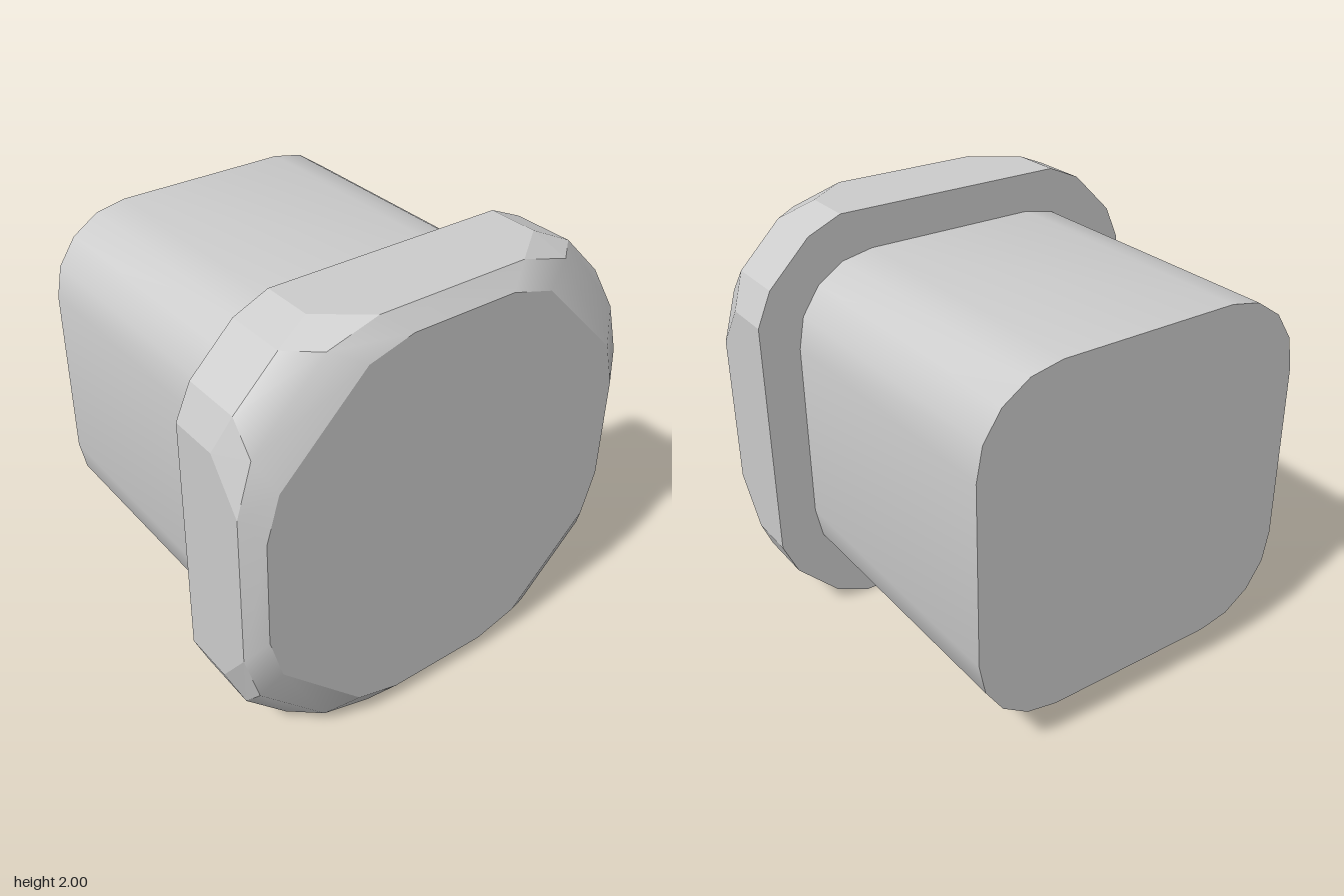
import * as THREE from 'three';
import { mergeVertices, toCreasedNormals } from 'three/addons/utils/BufferGeometryUtils.js';

// Fan-triangulate convex faces given as loops of [x, y, z]
function fromFaces(faces) {
  const pos = [];
  for (const f of faces)
    for (let i = 1; i < f.length - 1; i++) pos.push(...f[0], ...f[i], ...f[i + 1]);
  const g = new THREE.BufferGeometry();
  g.setAttribute('position', new THREE.Float32BufferAttribute(pos, 3));
  return g;
}

const mirrorX = ([x, y, z]) => [-x, y, z];
const swapXY = ([x, y, z]) => [y, x, z];
const turn = (q) => ([x, y, z]) => {
  for (let i = 0; i < q; i++) [x, y] = [-y, x];
  return [x, y, z];
};

export function createModel() {
  const group = new THREE.Group();
  const grey = new THREE.MeshStandardMaterial({ color: 0xcccccc });
  grey.name = 'grey';
  const add = (name, geometry) => {
    const mesh = new THREE.Mesh(geometry, grey);
    mesh.name = name;
    mesh.position.y = 1;
    group.add(mesh);
  };

  // Key points of one eighth of the head
  const a = [0.36, 1, 0.86], b = [0.57, 1, 0.70], c = [0.57, 1, 0.46];
  const d = [0.60, 0.93, 0.86], e = [0.73, 0.93, 0.75], f = [0.73, 0.93, 0.46];
  const g = [0.25, 0.92, 0.93], h = [0.46, 0.86, 0.93];
  const [a2, b2, c2, d2, e2, f2, g2, h2] = [a, b, c, d, e, f, g, h].map(swapXY);

  // One quarter of the head: side facets, bevel, front and back
  const sides = [
    [c, mirrorX(c), mirrorX(b), mirrorX(a), a, b],
    [c, b, e, f], [f2, e2, b2, c2],
    [b, a, d, e], [e2, d2, a2, b2],
    [f, e, e2, f2],
  ];
  const bevel = [
    [g, a, mirrorX(a), mirrorX(g)],
    [a, g, h, d], [d2, h2, g2, a2],
    [d, h, h2, d2], [e, d, d2, e2],
  ];
  const front = [[[0, 0, 0.93], g2, h2, h, g, mirrorX(g)]];
  const back = [[[0, 0, 0.46], mirrorX(c), c, f, f2, c2]];
  const allQuarters = (faces) =>
    fromFaces([0, 1, 2, 3].flatMap((q) => faces.map((face) => face.map(turn(q)))));

  // Faceted parts keep one normal per triangle, the bevel is smooth
  for (const [name, faces] of [['headSides', sides], ['headFront', front], ['headBack', back]]) {
    const geo = allQuarters(faces);
    geo.computeVertexNormals();
    add(name, geo);
  }
  const bevelGeo = mergeVertices(allQuarters(bevel));
  bevelGeo.computeVertexNormals();
  add('headBevel', bevelGeo);

  // Shaft: rounded square with four segments per corner
  const half = 0.815, r = 0.39, outline = [];
  for (let q = 0; q < 4; q++) {
    const mid = Math.PI / 4 + q * Math.PI / 2;
    const cx = Math.sign(Math.cos(mid)) * (half - r), cy = Math.sign(Math.sin(mid)) * (half - r);
    for (let i = 0; i <= 4; i++) {
      const t = q * Math.PI / 2 + i * Math.PI / 8;
      outline.push(new THREE.Vector2(cx + r * Math.cos(t), cy + r * Math.sin(t)));
    }
  }
  const shaft = new THREE.ExtrudeGeometry(new THREE.Shape(outline), { depth: 1.39, bevelEnabled: false });
  shaft.translate(0, 0, -0.93);
  add('shaft', toCreasedNormals(shaft, 0.7));

  return group;
}
